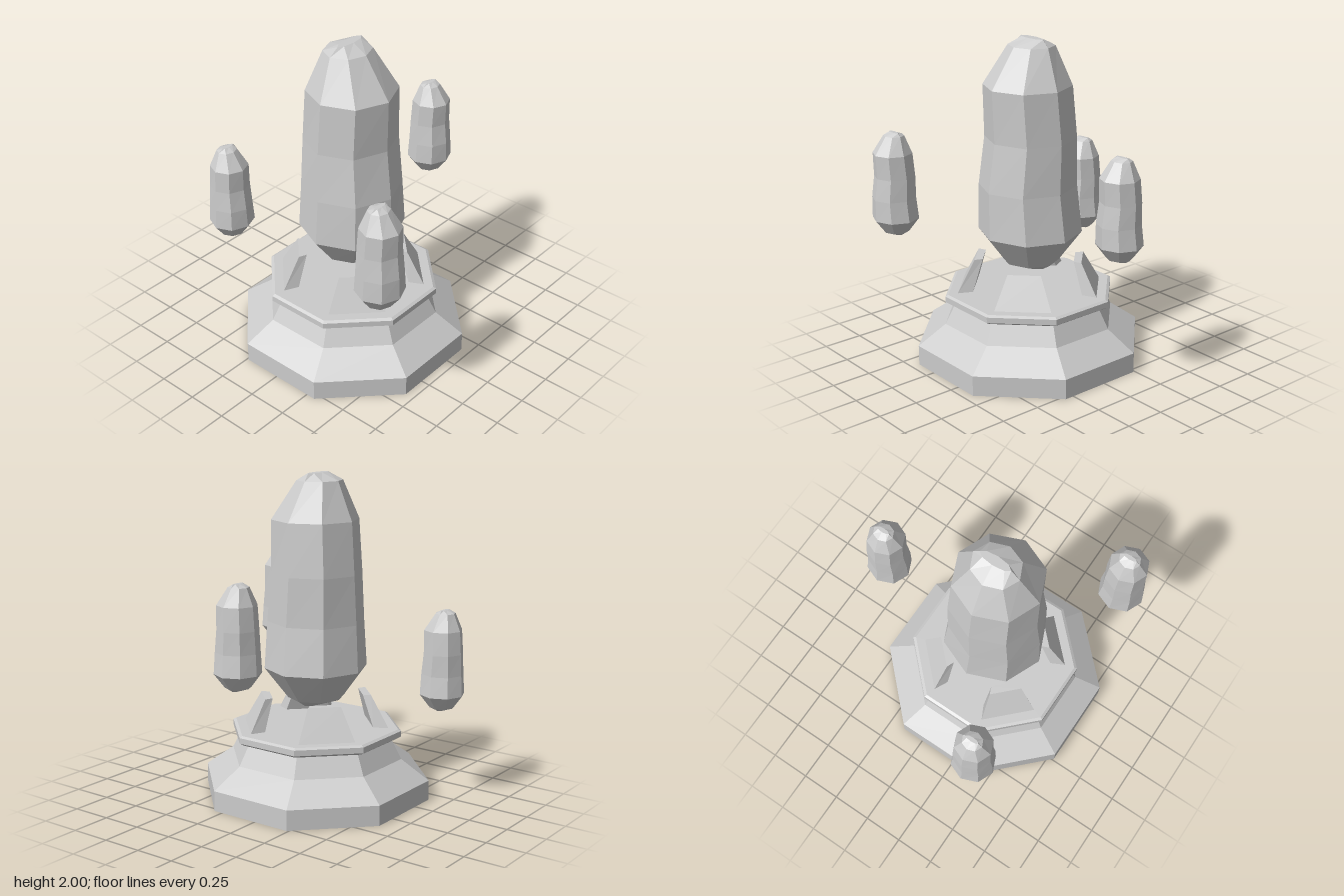
import * as THREE from 'three';

const material = new THREE.MeshStandardMaterial({ color: 0xcccccc, flatShading: true });
const shellMaterial = new THREE.MeshStandardMaterial({ color: 0xcccccc, flatShading: true, side: THREE.DoubleSide });

// Eight-sided ring; turn is the angle of the first corner
function octagon(y, rx, rz = rx, cx = 0, cz = 0, turn = 0) {
  return Array.from({ length: 8 }, (_, i) => {
    const a = turn + (i * Math.PI) / 4;
    return new THREE.Vector3(cx + rx * Math.cos(a), y, cz + rz * Math.sin(a));
  });
}

// Skin over rings from bottom to top, with optional flat ends
function loft(rings, capBottom, capTop) {
  const n = rings[0].length;
  const index = [];
  for (let k = 0; k < rings.length - 1; k++) {
    for (let i = 0; i < n; i++) {
      const a = k * n + i, b = k * n + ((i + 1) % n);
      index.push(b, a, a + n, b, a + n, b + n);
    }
  }
  const top = (rings.length - 1) * n;
  for (let i = 1; i < n - 1; i++) {
    if (capBottom) index.push(0, i, i + 1);
    if (capTop) index.push(top, top + i + 1, top + i);
  }
  const geometry = new THREE.BufferGeometry().setFromPoints(rings.flat());
  geometry.setIndex(index);
  const flat = geometry.toNonIndexed();
  flat.computeVertexNormals();
  return flat;
}

function addMesh(parent, name, geometry, mat = material) {
  const mesh = new THREE.Mesh(geometry, mat);
  mesh.name = name;
  parent.add(mesh);
  return mesh;
}

// Irregular crystal, origin at its lowest point
function crystalGeometry() {
  // height, x radius, z radius, x offset, z offset
  const sections = [
    [0, 0.11, 0.05, 0.01, 0],
    [0.04, 0.18, 0.17, 0.005, 0],
    [0.23, 0.325, 0.313, 0.005, 0.002],
    [0.52, 0.3, 0.3, -0.005, 0.01],
    [0.82, 0.285, 0.275, 0.005, -0.005],
    [1.14, 0.27, 0.268, 0, 0.012],
    [1.375, 0.15, 0.135, 0, -0.02],
    [1.42, 0.1, 0.03, 0.01, -0.015],
  ];
  return loft(sections.map((s) => octagon(...s)), true, true);
}

// Corners of a fin at one height: r runs outward, t sideways
function finRing(y, rOuter, tOuter, rInner, tInner) {
  return [[rOuter, -tOuter], [rOuter, tOuter], [rInner, tInner], [rInner, -tInner]]
    .map(([r, t]) => new THREE.Vector3(r, y, t));
}

export function createModel() {
  const model = new THREE.Group();
  model.name = 'crystalPedestal';

  // Hollow pedestal, open underneath
  const pedestal = new THREE.Group();
  pedestal.name = 'pedestal';
  pedestal.position.set(-0.13, 0, 0.035);
  model.add(pedestal);

  const corner = 1 / Math.cos(Math.PI / 8);
  const ringAt = (y, halfWidth) =>
    octagon(y, halfWidth * corner, halfWidth * corner, 0, 0, Math.PI / 8);
  const profile = [
    [0, 0.66], [0.125, 0.66], [0.25, 0.5], [0.385, 0.435],
    [0.38, 0.475], [0.395, 0.497], [0.43, 0.497], [0.44, 0.48],
  ];
  addMesh(pedestal, 'pedestalWall', loft(profile.map(([y, w]) => ringAt(y, w))), shellMaterial);

  // Pedestal top, open below each hollow fin
  const plateY = 0.44;
  const foot = finRing(plateY, 0.425, 0.17, 0.335, 0.14);
  const plate = new THREE.Shape(ringAt(0, 0.48).map((p) => new THREE.Vector2(p.x, p.z)));
  const finTurns = [0, 1, 2, 3].map((k) => Math.PI / 4 + (k * Math.PI) / 2);
  for (const turn of finTurns) {
    plate.holes.push(new THREE.Path(foot.map((p) =>
      new THREE.Vector2(p.x, p.z).rotateAround(new THREE.Vector2(), turn))));
  }
  const plateGeometry = new THREE.ShapeGeometry(plate).rotateX(-Math.PI / 2);
  addMesh(pedestal, 'pedestalTop', plateGeometry, shellMaterial).position.y = plateY;

  // Four fins leaning in around the crystal
  const finGeometry = loft([foot, finRing(0.635, 0.328, 0.1, 0.28, 0.08)], false, true);
  for (const turn of finTurns) {
    addMesh(pedestal, 'fin', finGeometry, shellMaterial).rotation.y = turn;
  }

  // Large crystal and three small floating ones: name, x, y, z, scale
  const crystal = crystalGeometry();
  const crystals = [
    ['mainCrystal', -0.13, 0.58, 0.03, 1],
    ['leftCrystal', 0.645, 0.828, 0.012, 0.433],
    ['frontRightCrystal', -0.633, 0.797, 0.673, 0.45],
    ['backRightCrystal', -0.448, 0.58, -0.68, 0.435],
  ];
  for (const [name, x, y, z, scale] of crystals) {
    const mesh = addMesh(model, name, crystal);
    mesh.position.set(x, y, z);
    mesh.scale.setScalar(scale);
  }
  return model;
}
